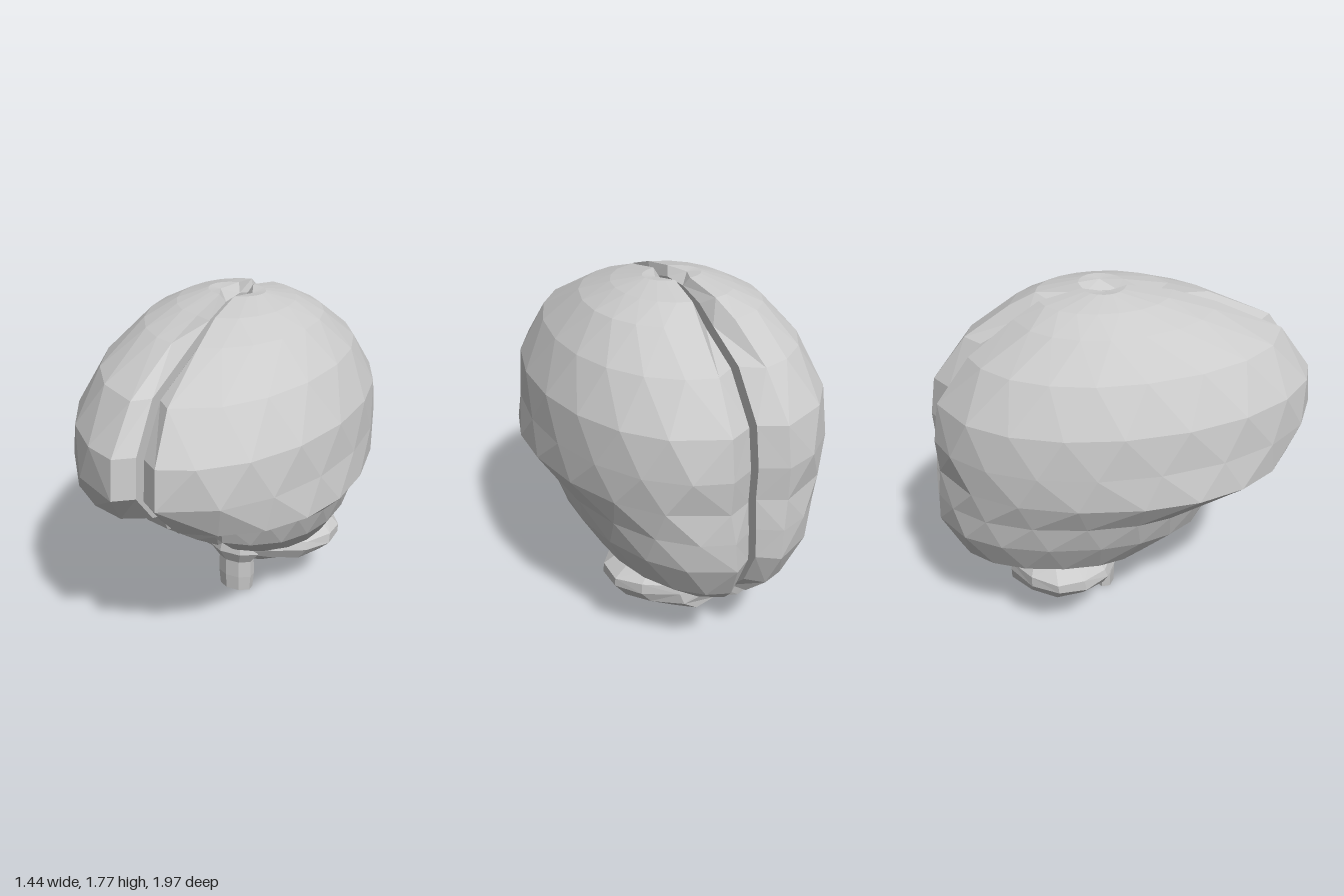
import * as THREE from 'three';

const material = new THREE.MeshStandardMaterial({ color: 0xcccccc, flatShading: true });

// Skin a stack of closed rings (top to bottom), capped at both ends.
// side = -1 mirrors the result across x = 0.
function loft(rings, side = 1) {
  const pos = [];
  const tri = (a, b, c) => {
    for (const p of side > 0 ? [a, b, c] : [a, c, b]) pos.push(p.x * side, p.y, p.z);
  };
  const n = rings[0].length;
  for (let r = 0; r < rings.length - 1; r++) {
    const up = rings[r], low = rings[r + 1];
    for (let i = 0; i < n; i++) {
      const j = (i + 1) % n;
      if (r % 2) {
        tri(low[i], low[j], up[i]);
        tri(low[j], up[j], up[i]);
      } else {
        tri(low[i], low[j], up[j]);
        tri(low[i], up[j], up[i]);
      }
    }
  }
  const centre = ring => ring.reduce((s, p) => s.add(p), new THREE.Vector3()).divideScalar(n);
  const top = rings[0], bottom = rings[rings.length - 1];
  const topC = centre(top), bottomC = centre(bottom);
  for (let i = 0; i < n; i++) {
    const j = (i + 1) % n;
    tri(top[i], top[j], topC);
    tri(bottom[j], bottom[i], bottomC);
  }
  const geometry = new THREE.BufferGeometry();
  geometry.setAttribute('position', new THREE.Float32BufferAttribute(pos, 3));
  geometry.computeVertexNormals();
  return geometry;
}

// Hemisphere levels: y, front z, back z, half width, z of widest point, front bluntness
const LEVELS = [
  [1.78, 0.02, -0.21, 0.15, -0.1, 1],
  [1.74, 0.25, -0.42, 0.29, -0.1, 1],
  [1.67, 0.47, -0.55, 0.43, -0.1, 1],
  [1.51, 0.82, -0.78, 0.58, -0.08, 1],
  [1.29, 0.98, -0.95, 0.69, -0.05, 1],
  [1.09, 1.0, -0.98, 0.705, -0.05, 1],
  [0.92, 0.86, -0.97, 0.72, 0.05, 0.85],
  [0.77, 0.46, -0.985, 0.62, -0.1, 0.7],
  [0.62, 0.41, -0.99, 0.57, -0.15, 0.7],
  [0.44, 0.18, -0.9, 0.46, -0.25, 0.8],
  [0.33, 0.02, -0.78, 0.3, -0.3, 0.9],
];

// Half-oval ring: rounded outer side, flat inner side along the cleft
function hemisphereRing([y, front, back, width, mid, blunt], row) {
  const STEPS = 9, GAP = 0.02, ring = [];
  const inset = Math.min(0.08, (front - back) * 0.15);
  const innerY = y > 1.6 ? y - 0.045 : y;
  ring.push(new THREE.Vector3(GAP, innerY, front - inset));
  for (let i = 0; i <= STEPS; i++) {
    const stagger = i > 0 && i < STEPS ? (row % 2 ? 0.22 : -0.22) : 0;
    const a = 0.16 + (Math.PI - 0.32) * (i + stagger) / STEPS;
    const c = Math.cos(a);
    const x = width * Math.pow(Math.sin(a), c > 0 ? blunt : 0.85);
    const z = mid + c * (c > 0 ? front - mid : mid - back);
    ring.push(new THREE.Vector3(Math.max(x, GAP + 0.02), y, z));
  }
  ring.push(new THREE.Vector3(GAP, innerY, back + inset));
  return ring;
}

// Full oval ring, notched at the middle of the back
function cerebellumRing([y, front, back, width], row) {
  const ring = [], N = 14, mid = (front + back) / 2;
  for (let i = 0; i < N; i++) {
    const a = (i / N) * Math.PI * 2;
    const s = Math.sin(a), c = Math.cos(a);
    const x = width * Math.sign(s) * Math.pow(Math.abs(s), 0.9);
    const notch = i === N / 2 ? 0.06 : 0;
    const ripple = row % 2 && i % 2 ? 0.012 : 0;
    ring.push(new THREE.Vector3(x, y + ripple, mid + c * (front - back) / 2 + notch));
  }
  return ring;
}

export function createModel() {
  const group = new THREE.Group();
  const add = (name, geometry) => {
    const mesh = new THREE.Mesh(geometry, material);
    mesh.name = name;
    group.add(mesh);
    return mesh;
  };

  // Two mirrored cerebral hemispheres
  const rings = LEVELS.map(hemisphereRing);
  add('leftHemisphere', loft(rings, 1));
  add('rightHemisphere', loft(rings, -1));

  // Bridge joining the hemispheres inside the cleft
  const bridge = new THREE.Shape([
    [0.05, 0.9], [0.0, 1.04], [-0.2, 1.1], [-0.45, 1.08], [-0.63, 0.95], [-0.5, 0.84], [-0.1, 0.82],
  ].map(([z, y]) => new THREE.Vector2(-z, y)));
  const bridgeGeometry = new THREE.ExtrudeGeometry(bridge, { depth: 0.06, bevelEnabled: false });
  bridgeGeometry.translate(0, 0, -0.03).rotateY(Math.PI / 2);
  add('hemisphereBridge', bridgeGeometry);

  // Cerebellum under the back: y, front z, back z, half width
  add('cerebellum', loft([
    [0.44, -0.14, -0.62, 0.42],
    [0.365, -0.06, -0.67, 0.5],
    [0.32, -0.04, -0.675, 0.5],
    [0.25, -0.06, -0.67, 0.44],
    [0.18, -0.14, -0.635, 0.26],
    [0.13, -0.3, -0.5, 0.1],
  ].map(cerebellumRing)));

  // Brain stem, flaring where it enters the brain
  const stem = new THREE.LatheGeometry([
    [0, 0.005], [0.098, 0.01], [0.106, 0.1], [0.104, 0.2], [0.16, 0.27], [0.12, 0.4], [0, 0.4],
  ].map(([x, y]) => new THREE.Vector2(x, y)), 8);
  stem.rotateY(Math.PI / 8).scale(1, 1, 0.6).translate(0, 0, -0.11);
  add('brainStem', stem);

  return group;
}
